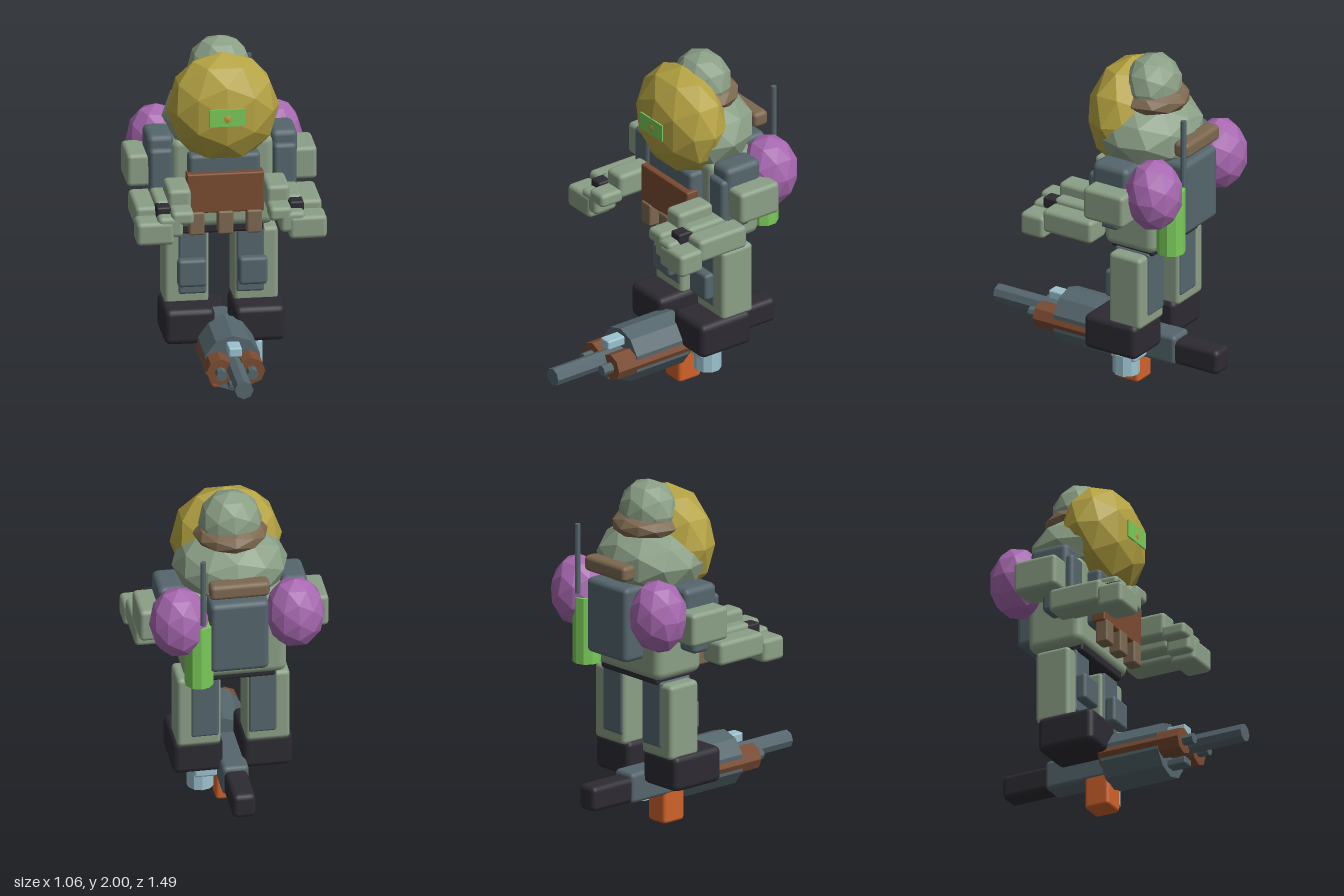
import * as THREE from 'three';
import { RoundedBoxGeometry } from 'three/addons/geometries/RoundedBoxGeometry.js';

const COLORS = {
  armorGreen: 0x8b9f86, slate: 0x55666d, black: 0x2d2b32, rust: 0x7a4b31, tan: 0x7c6850,
  visorGold: 0xb5a342, purple: 0xa768b0, lime: 0x7acb5a, paleBlue: 0x9cc3cf, orange: 0xd0622b,
};

export function createModel() {
  const root = new THREE.Group();
  root.name = 'trooper';
  const mats = {};
  for (const [name, color] of Object.entries(COLORS)) {
    mats[name] = new THREE.MeshStandardMaterial({ color });
    mats[name].name = name;
  }

  const add = (parent, name, geo, mat, pos) => {
    const mesh = new THREE.Mesh(geo, mats[mat]);
    mesh.name = name;
    mesh.position.set(...pos);
    parent.add(mesh);
    return mesh;
  };
  // Bevelled box given by its [min, max] range on each axis
  const box = (parent, name, mat, [x0, x1], [y0, y1], [z0, z1], bevel = 0.025) => {
    const s = [x1 - x0, y1 - y0, z1 - z0];
    const r = Math.min(bevel, Math.min(...s) * 0.3);
    return add(parent, name, new RoundedBoxGeometry(...s, 2, r), mat,
      [(x0 + x1) / 2, (y0 + y1) / 2, (z0 + z1) / 2]);
  };
  // Faceted ellipsoid
  const blob = (parent, name, mat, pos, radii) => {
    const geo = new THREE.IcosahedronGeometry(1, 1).scale(...radii);
    geo.computeVertexNormals();
    return add(parent, name, geo, mat, pos);
  };
  // Faceted cylinder along y or z
  const rod = (parent, name, mat, pos, r, length, sides, axis = 'y') => {
    let geo = new THREE.CylinderGeometry(r, r, length, sides);
    if (axis === 'z') geo.rotateX(Math.PI / 2);
    geo = geo.toNonIndexed();
    geo.computeVertexNormals();
    return add(parent, name, geo, mat, pos);
  };
  const group = (name) => {
    const g = new THREE.Group();
    g.name = name;
    root.add(g);
    return g;
  };
  // Range on x for either side of the body
  const mx = (s, a, b) => (s > 0 ? [a, b] : [-b, -a]);

  // Helmet
  const head = group('head');
  blob(head, 'helmet', 'armorGreen', [0, 1.55, -0.26], [0.325, 0.22, 0.3]);
  blob(head, 'helmetBand', 'tan', [0, 1.75, -0.28], [0.21, 0.09, 0.21]);
  blob(head, 'helmetCrown', 'armorGreen', [0, 1.815, -0.28], [0.18, 0.185, 0.16]);
  blob(head, 'visor', 'visorGold', [0, 1.63, -0.14], [0.315, 0.32, 0.215]);
  add(head, 'visorLight', new THREE.BoxGeometry(0.2, 0.1, 0.009), 'lime', [0, 1.635, 0.065]);

  // Torso, chest and belt
  const torso = group('torso');
  box(torso, 'body', 'armorGreen', [-0.29, 0.29], [0.92, 1.45], [-0.47, -0.135], 0.05);
  box(torso, 'chestPlate', 'slate', [-0.2, 0.2], [1.05, 1.38], [-0.18, -0.055]);
  box(torso, 'chestPanel', 'rust', [-0.215, 0.215], [1.05, 1.28], [-0.1, -0.02], 0.01);
  box(torso, 'belt', 'black', [-0.23, 0.23], [0.885, 0.945], [-0.43, -0.15], 0.015);
  for (const x of [-0.16, 0, 0.16]) {
    box(torso, 'pouch', 'tan', [x - 0.043, x + 0.043], [0.925, 1.06], [-0.085, -0.01], 0.012);
  }

  // Backpack gear
  const pack = group('backpack');
  box(pack, 'packBody', 'slate', [-0.165, 0.165], [1.03, 1.46], [-0.6, -0.42], 0.03);
  box(pack, 'bedroll', 'tan', [-0.168, 0.168], [1.5, 1.59], [-0.615, -0.52], 0.025);
  rod(pack, 'canister', 'lime', [0.22, 1.14, -0.542], 0.08, 0.38, 10);
  rod(pack, 'antenna', 'slate', [0.21, 1.56, -0.618], 0.016, 0.4, 8);
  for (const s of [-1, 1]) {
    blob(pack, 'shoulderOrb', 'purple', [s * 0.325, 1.325, -0.5], [0.168, 0.21, 0.16]);
  }

  // Arms and legs, mirrored
  for (const s of [-1, 1]) {
    const side = s > 0 ? 'left' : 'right';
    const arm = group(side + 'Arm');
    box(arm, 'shoulderPad', 'slate', mx(s, 0.27, 0.42), [1.26, 1.47], [-0.38, -0.145], 0.035);
    box(arm, 'upperArm', 'slate', mx(s, 0.28, 0.41), [1.08, 1.4], [-0.31, -0.115]);
    box(arm, 'elbowGuard', 'armorGreen', mx(s, 0.33, 0.53), [1.17, 1.36], [-0.425, -0.16]);
    box(arm, 'forearmOuter', 'armorGreen', mx(s, 0.36, 0.52), [1.015, 1.15], [-0.21, 0.115]);
    box(arm, 'forearmMiddle', 'armorGreen', mx(s, 0.28, 0.41), [1.05, 1.18], [-0.18, 0.11]);
    box(arm, 'forearmInner', 'armorGreen', mx(s, 0.21, 0.34), [1.1, 1.245], [-0.11, 0.125]);
    box(arm, 'handOuter', 'armorGreen', mx(s, 0.32, 0.53), [0.97, 1.105], [0.1, 0.255]);
    box(arm, 'handMiddle', 'armorGreen', mx(s, 0.27, 0.41), [1.01, 1.13], [0.1, 0.25]);
    box(arm, 'handInner', 'armorGreen', mx(s, 0.21, 0.335), [1.08, 1.16], [0.1, 0.25]);
    box(arm, 'wristStrap', 'black', mx(s, 0.33, 0.41), [1.1, 1.168], [0.08, 0.18], 0.012);

    const leg = group(side + 'Leg');
    box(leg, 'thigh', 'armorGreen', mx(s, 0.07, 0.317), [0.46, 0.89], [-0.4, -0.19]);
    box(leg, 'legPanel', 'slate', mx(s, 0.083, 0.24), [0.52, 0.9], [-0.408, -0.182], 0.015);
    box(leg, 'kneePad', 'slate', mx(s, 0.09, 0.25), [0.58, 0.74], [-0.185, -0.12], 0.02);
    box(leg, 'boot', 'black', mx(s, 0.055, 0.335), [0.275, 0.48], [-0.38, -0.035], 0.035);
  }

  // Gun lying between the boots
  const gun = group('gun');
  rod(gun, 'housing', 'slate', [0, 0.273, 0.1], 0.16, 0.36, 10, 'z');
  rod(gun, 'mainBarrel', 'slate', [0, 0.28, 0.475], 0.052, 0.54, 8, 'z');
  for (const s of [-1, 1]) {
    rod(gun, 'sideGrip', 'rust', [s * 0.087, 0.27, 0.16], 0.077, 0.5, 8, 'z');
    rod(gun, 'sideBarrel', 'slate', [s * 0.087, 0.27, 0.43], 0.031, 0.09, 8, 'z');
  }
  box(gun, 'sight', 'paleBlue', [-0.037, 0.037], [0.345, 0.4], [0.2, 0.39], 0.01);
  box(gun, 'underRail', 'slate', [-0.037, 0.037], [0.16, 0.205], [0.2, 0.39], 0.01);
  box(gun, 'receiver', 'slate', [-0.075, 0.075], [0.17, 0.345], [-0.47, -0.05]);
  box(gun, 'stock', 'black', [-0.065, 0.065], [0.175, 0.32], [-0.745, -0.44], 0.03);
  box(gun, 'magazine', 'orange', [-0.07, 0.07], [0, 0.24], [-0.225, -0.075], 0.02);
  rod(gun, 'scopeCan', 'paleBlue', [0.155, 0.165, -0.205], 0.076, 0.12, 10);
  box(gun, 'scopeMount', 'paleBlue', [0.07, 0.2], [0.19, 0.275], [-0.288, -0.125], 0.015);

  return root;
}
